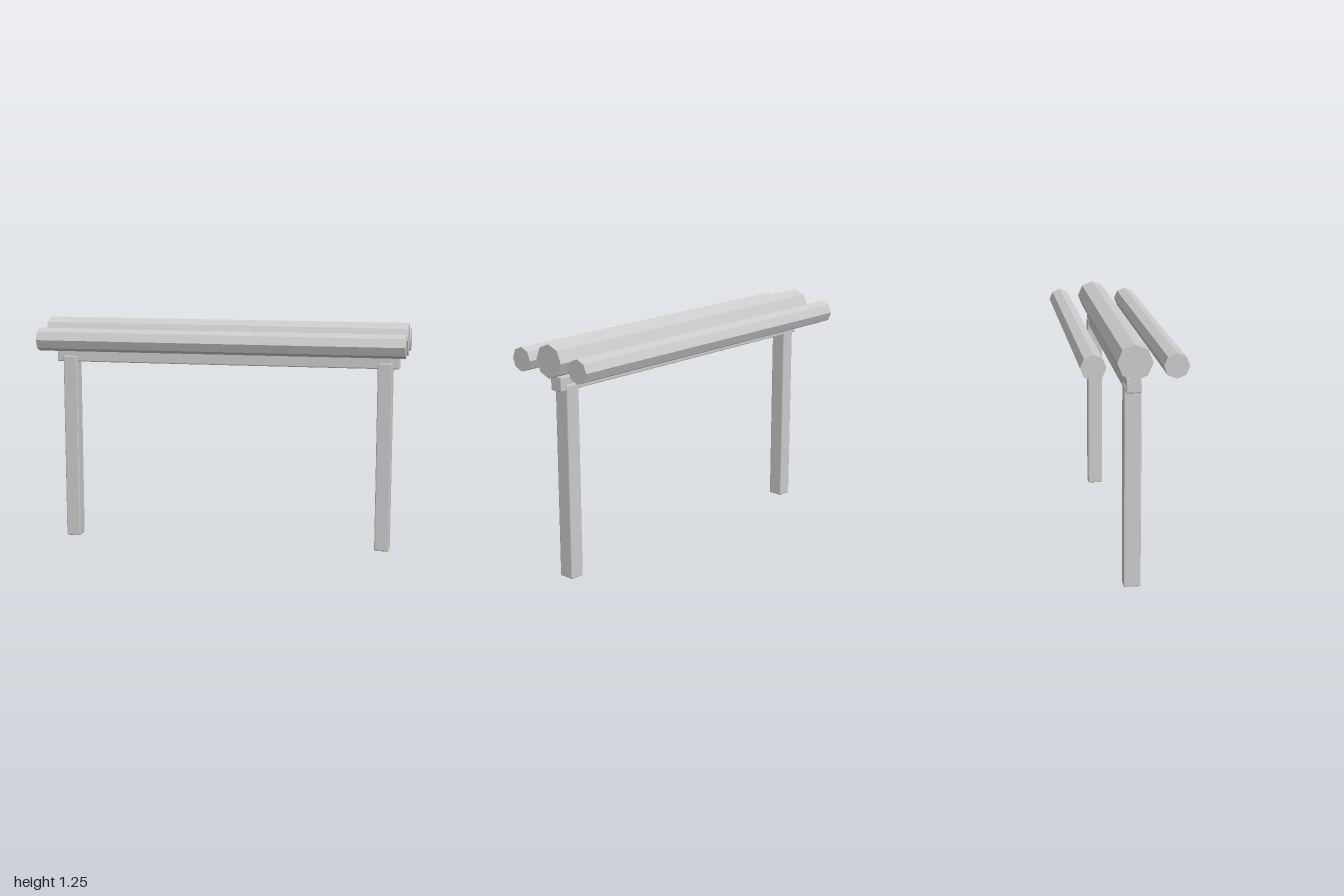
import * as THREE from 'three';
import { RoundedBoxGeometry } from 'three/addons/geometries/RoundedBoxGeometry.js';

export function createModel() {
  const group = new THREE.Group();
  const material = new THREE.MeshStandardMaterial({ color: 0xcccccc, flatShading: true });

  const add = (name, geometry, x, y, z) => {
    const mesh = new THREE.Mesh(geometry, material);
    mesh.name = name;
    mesh.position.set(x, y, z);
    group.add(mesh);
  };

  // Beam with slightly softened edges
  const beam = (w, h, d) => new RoundedBoxGeometry(w, h, d, 1, 0.006);

  // Eight-sided log lying along x, one corner pointing up
  const log = (radius) => new THREE.CylinderGeometry(radius, radius, 2, 8).rotateZ(Math.PI / 2);

  // Posts and the rail resting in them
  for (const side of [-1, 1]) {
    add(side > 0 ? 'leftPost' : 'rightPost', beam(0.08, 1.035, 0.086), side * 0.88, 0.5175, 0);
  }
  add('rail', beam(1.91, 0.077, 0.075), 0, 1.0415, 0);

  // Large middle log with a thinner log in front and behind
  add('middleLog', log(0.087), 0, 1.163, 0);
  add('frontLog', log(0.063), 0, 1.143, 0.2);
  add('backLog', log(0.063), 0, 1.143, -0.2);

  return group;
}
